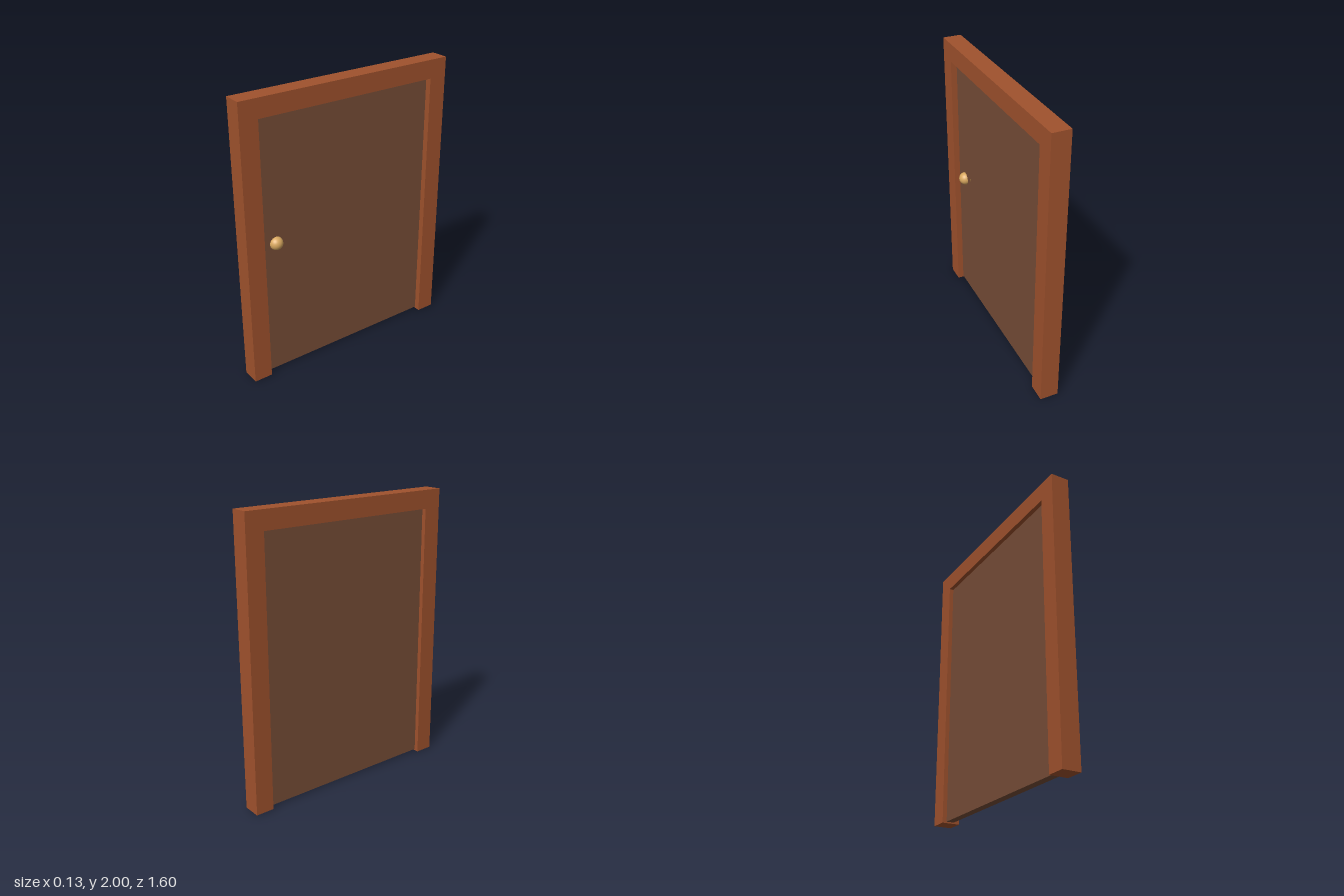
import * as THREE from 'three';

const material = (color) => new THREE.MeshStandardMaterial({ color });

// Rectangle outline as points in the (z, y) plane of the door
const rect = (z0, z1, y0, y1) => [[z0, y0], [z1, y0], [z1, y1], [z0, y1]];
// The shape's horizontal axis becomes -z once the slab is turned to face +x
const outline = (points, Type) => new Type(points.map(([z, y]) => new THREE.Vector2(-z, y)));

// Upright slab between two x positions, with optional openings
function slab(name, points, holes, x0, x1, mat) {
  const shape = outline(points, THREE.Shape);
  shape.holes = holes.map((h) => outline(h, THREE.Path));
  const geometry = new THREE.ExtrudeGeometry(shape, { depth: x1 - x0, bevelEnabled: false });
  geometry.rotateY(Math.PI / 2).translate(x0, 0, 0);
  const mesh = new THREE.Mesh(geometry, mat);
  mesh.name = name;
  return mesh;
}

export function createModel() {
  const model = new THREE.Group();
  model.name = 'door';
  const frameWood = material(0xa0522d);
  const doorWood = material(0x774d37);
  const brass = material(0xd9a860);

  // Frame: two jambs and a head, open at the floor
  const frame = [
    [-0.8, 0], [-0.67, 0], [-0.67, 1.87], [0.67, 1.87],
    [0.67, 0], [0.8, 0], [0.8, 2], [-0.8, 2],
  ];
  model.add(slab('frame', frame, [], -0.067, 0.062, frameWood));

  // Door leaf: plain backing plus a front layer with six openings
  const back = -0.036, recess = -0.002, front = 0.02;
  const leaf = rect(-0.67, 0.67, 0.01, 1.87);
  const panels = [];
  for (const [z0, z1] of [[0.065, 0.475], [-0.495, -0.065]]) {
    for (const [y0, y1] of [[0.15, 0.59], [0.645, 1.175], [1.21, 1.75]]) {
      panels.push(rect(z0, z1, y0, y1));
    }
  }
  model.add(slab('doorBacking', leaf, [], back, recess, doorWood));
  model.add(slab('doorPanelling', leaf, panels, recess, front, doorWood));

  // Round knob, half sunk into the leaf
  const knob = new THREE.Mesh(new THREE.SphereGeometry(0.046, 32, 20), brass);
  knob.name = 'knob';
  knob.position.set(0.021, 0.99, 0.563);
  model.add(knob);

  return model;
}
